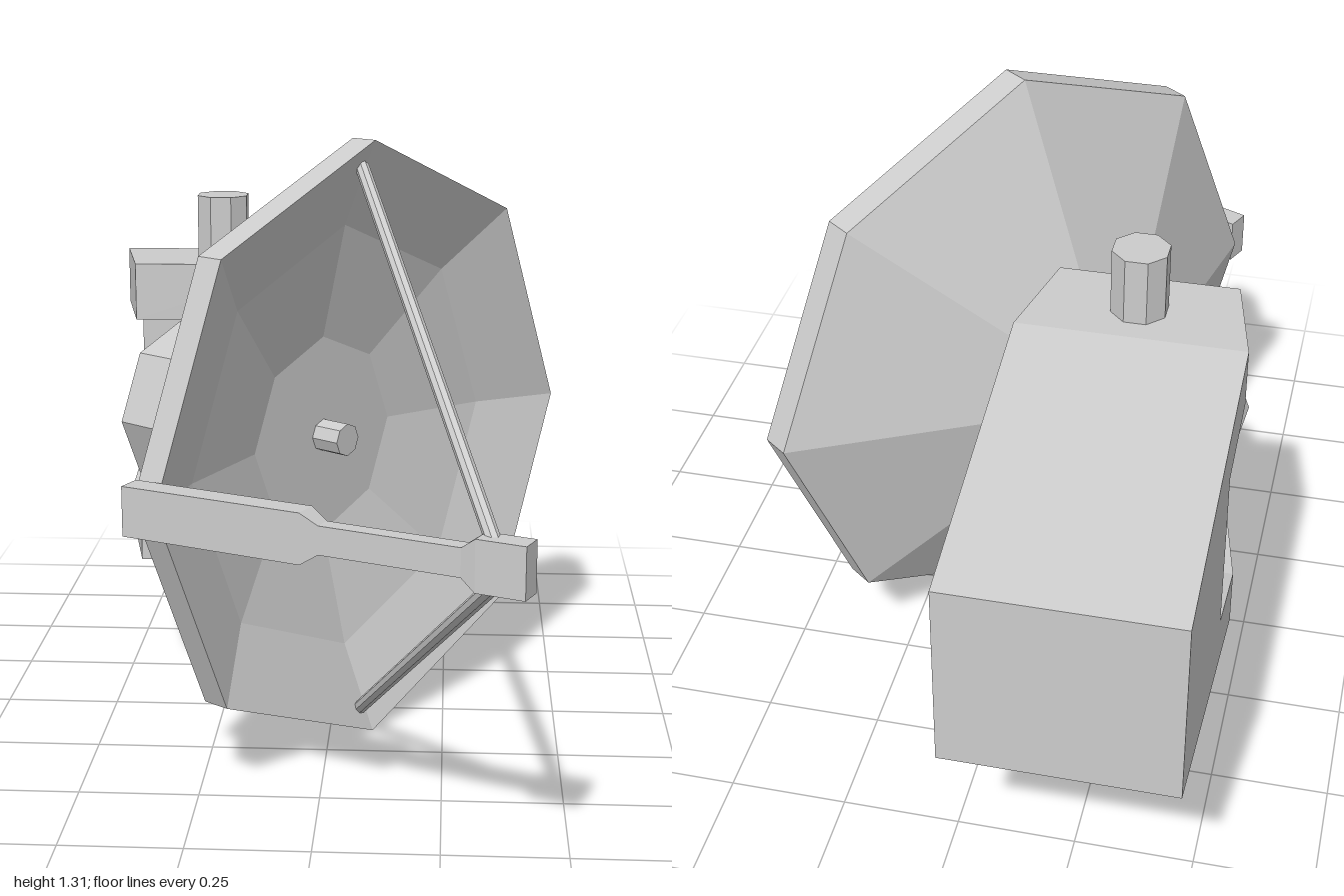
import * as THREE from 'three';

const material = new THREE.MeshStandardMaterial({ color: 0xcccccc, flatShading: true });
const MID_Y = 0.656;

function add(parent, name, geometry) {
  const mesh = new THREE.Mesh(geometry, material);
  mesh.name = name;
  parent.add(mesh);
  return mesh;
}

// Box whose cross-section changes along z: sections are [z, width, height]
function loftBox(sections) {
  const n = sections.length - 1;
  const geo = new THREE.BoxGeometry(1, 1, n, 1, 1, n);
  const p = geo.attributes.position;
  for (let i = 0; i < p.count; i++) {
    const [z, w, h] = sections[Math.round(p.getZ(i) + n / 2)];
    p.setXYZ(i, p.getX(i) * w, p.getY(i) * h, z);
  }
  geo.computeVertexNormals();
  return geo;
}

// Rod between two points
function rod(from, to, radius, sides) {
  const dir = to.clone().sub(from);
  const geo = new THREE.CylinderGeometry(radius, radius, dir.length(), sides);
  geo.applyQuaternion(new THREE.Quaternion().setFromUnitVectors(
    new THREE.Vector3(0, 1, 0), dir.normalize()));
  return geo.translate(...from.clone().add(to).multiplyScalar(0.5).toArray());
}

export function createModel() {
  const model = new THREE.Group();
  model.name = 'dishAntenna';

  // Eight-sided reflector, turned towards its left
  const dish = new THREE.Group();
  dish.name = 'dish';
  dish.position.set(0.095, MID_Y, 0.135);
  dish.rotation.y = 0.911;
  model.add(dish);

  const profile = [[0, -0.275], [0.21, -0.275], [0.655, -0.062], [0.655, 0],
    [0.47, -0.083], [0.22, -0.145], [0, -0.145]].map(([r, z]) => new THREE.Vector2(r, z));
  add(dish, 'reflector', new THREE.LatheGeometry(profile, 8).rotateX(Math.PI / 2));

  // Mount drum behind the reflector and the small stub in its centre
  add(dish, 'mountDrum', new THREE.CylinderGeometry(0.21, 0.21, 0.3, 8)
    .rotateX(Math.PI / 2).translate(0, 0, -0.415));
  add(dish, 'centreStub', new THREE.CylinderGeometry(0.036, 0.036, 0.08, 8)
    .rotateX(Math.PI / 2).translate(0, 0, -0.115));

  // Feed arm: thick root, slim middle, block at the tip
  const arm = add(model, 'feedArm', loftBox([
    [0, 0.052, 0.1], [0.385, 0.052, 0.1], [0.42, 0.036, 0.056],
    [0.705, 0.036, 0.056], [0.735, 0.05, 0.1], [0.832, 0.05, 0.1]]));
  arm.position.set(-0.357, MID_Y + 0.002, 0.64);
  arm.rotation.y = 1.15;

  // Struts from the rim to the feed block
  for (const side of [1, -1]) {
    add(model, side > 0 ? 'upperStrut' : 'lowerStrut', rod(
      new THREE.Vector3(0.067, MID_Y + side * 0.6, 0.135),
      new THREE.Vector3(0.337, MID_Y + side * 0.04, 0.945), 0.015, 8));
  }

  // Yoke body: side profile in (z, y about the middle), extruded across x
  const half = [[-0.34, 0.22], [-0.533, 0.183]];
  const outer = [[-1, 0.207], [-0.34, 0.347]];
  const outline = [
    [-1, -0.207], [-0.34, -0.347], [-0.34, -0.22], [-0.533, -0.183],
    ...half.slice().reverse(), ...outer.slice().reverse(),
  ].map(([z, y]) => new THREE.Vector2(z, y));
  const body = new THREE.ExtrudeGeometry(new THREE.Shape(outline),
    { depth: 0.47, bevelEnabled: false });
  add(model, 'yokeBody', body.rotateY(-Math.PI / 2).translate(-0.03, MID_Y, 0));

  // Tapered fork ends and the pivot pin through them
  for (const side of [1, -1]) {
    const tip = add(model, side > 0 ? 'upperFork' : 'lowerFork',
      loftBox([[-0.34, 0.47, 0.127], [-0.12, 0.375, 0.127]]));
    tip.position.set(-0.265, MID_Y + side * 0.2835, 0);
  }
  add(model, 'pivotPin', new THREE.CylinderGeometry(0.06, 0.06, 0.974, 8)
    .rotateY(Math.PI / 8).translate(-0.265, MID_Y + 0.002, -0.235));

  return model;
}
